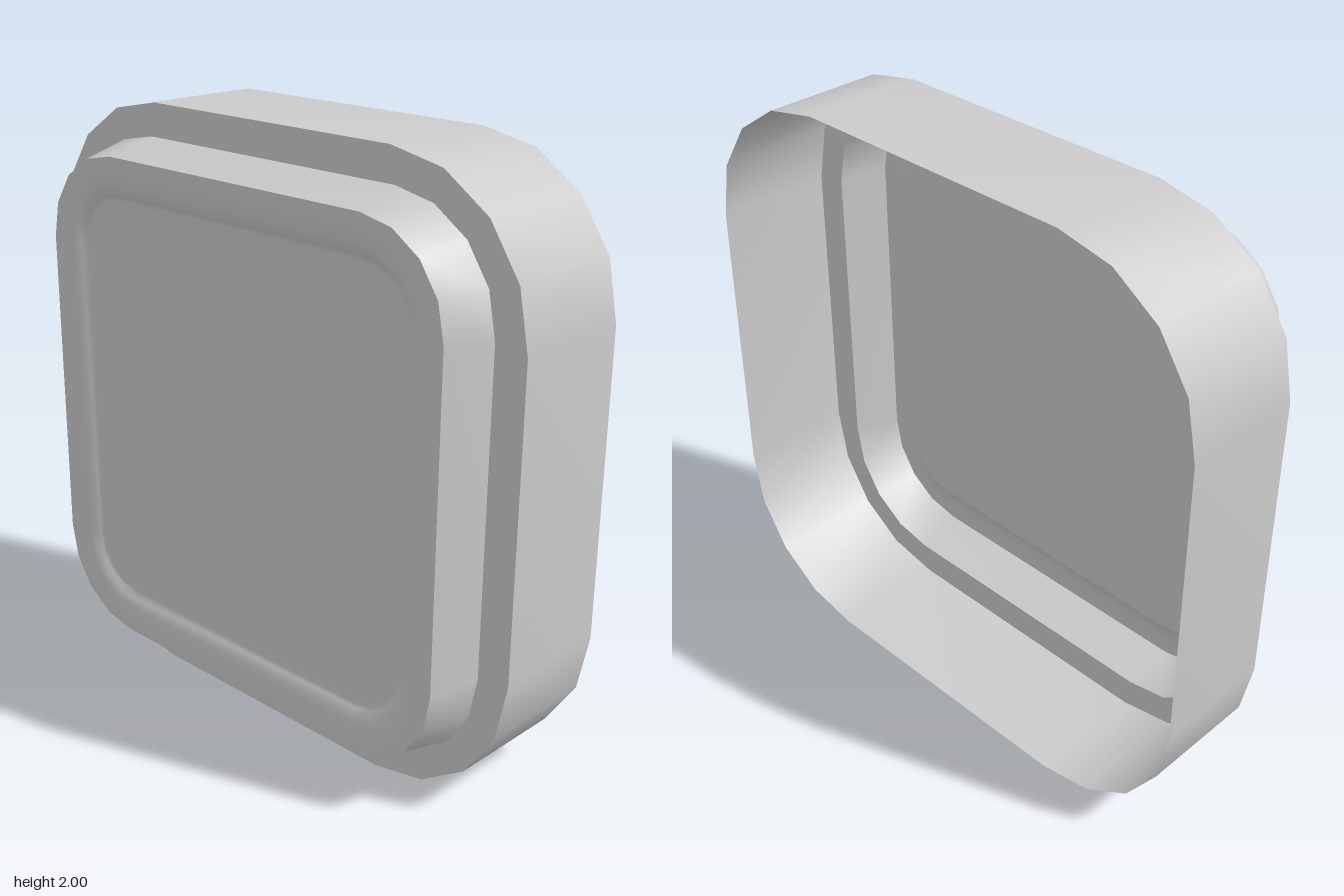
import * as THREE from 'three';

const material = new THREE.MeshStandardMaterial({ color: 0xcccccc, side: THREE.DoubleSide });
const SEGMENTS = 4; // facets per rounded corner

// Rounded-square outline, counter-clockwise seen from the front
function outline(half, radius) {
  const points = [];
  const c = half - radius;
  for (let q = 0; q < 4; q++) {
    const cx = q === 0 || q === 3 ? c : -c;
    const cy = q < 2 ? c : -c;
    for (let i = 0; i <= SEGMENTS; i++) {
      const a = (q + i / SEGMENTS) * Math.PI / 2;
      points.push(new THREE.Vector2(cx + radius * Math.cos(a), cy + radius * Math.sin(a)));
    }
  }
  return points;
}

// Smooth band through rings given as [half width, corner radius, z]
function loft(name, rings) {
  const positions = [], indices = [];
  const n = 4 * (SEGMENTS + 1);
  rings.forEach(([half, radius, z], r) => {
    for (const p of outline(half, radius)) positions.push(p.x, p.y, z);
    if (r === 0) return;
    for (let j = 0; j < n; j++) {
      const k = (j + 1) % n;
      const a = (r - 1) * n + j, b = (r - 1) * n + k;
      const c = r * n + k, d = r * n + j;
      indices.push(a, b, c, a, c, d);
    }
  });
  const geometry = new THREE.BufferGeometry();
  geometry.setAttribute('position', new THREE.Float32BufferAttribute(positions, 3));
  geometry.setIndex(indices);
  geometry.computeVertexNormals();
  const mesh = new THREE.Mesh(geometry, material);
  mesh.name = name;
  return mesh;
}

export function createModel() {
  const group = new THREE.Group();
  group.name = 'squareCap';

  const back = [1, 0.5, -0.287];
  const front = [1, 0.5, 0.125];
  const stepInner = [0.89, 0.37, 0.125];
  const rim = [0.845, 0.31, 0.287];
  const floor = [0.7, 0.17, 0.257];

  // Open-backed skirt, flat shoulder and tapered raised rim
  group.add(loft('outerWall', [back, front]));
  group.add(loft('shoulder', [front, stepInner]));
  group.add(loft('taperedWall', [stepInner, rim]));

  // Softly rounded lip falling into the shallow recess
  group.add(loft('recessLip', [
    rim, [0.8, 0.27, 0.286], [0.755, 0.225, 0.281], [0.725, 0.195, 0.271],
    [0.714, 0.184, 0.26], floor, [0.66, 0.13, 0.257],
  ]));

  // Flat recessed panel
  const panel = new THREE.Mesh(new THREE.ShapeGeometry(new THREE.Shape(outline(0.66, 0.13))), material);
  panel.position.z = floor[2];
  panel.name = 'facePanel';
  group.add(panel);

  group.position.y = 1;
  const model = new THREE.Group();
  model.add(group);
  return model;
}
